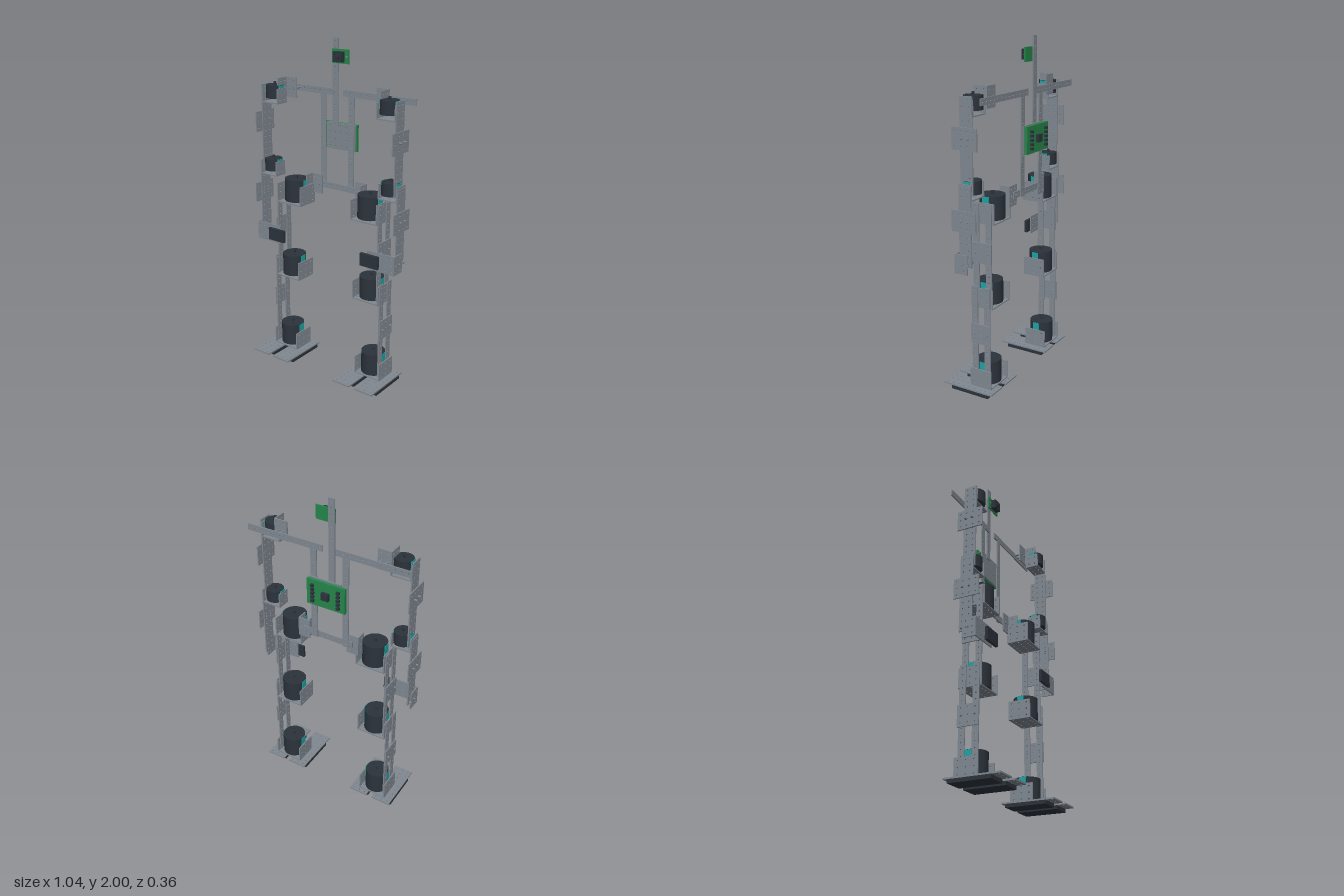
import * as THREE from 'three';

const material = (name, color) => {
  const m = new THREE.MeshStandardMaterial({ color });
  m.name = name;
  return m;
};

export function createModel() {
  const steel = material('steel grey', 0x808890);
  const black = material('motor black', 0x2c333b);
  const green = material('circuit green', 0x26854a);
  const teal = material('gearbox teal', 0x1fa3a3);
  const root = new THREE.Group();
  root.name = 'humanoidRobotFrame';

  const add = (name, geo, mat, x, y, z) => {
    const m = new THREE.Mesh(geo, mat);
    m.name = name;
    m.position.set(x, y, z);
    root.add(m);
    return m;
  };

  // Solid block given by its ranges; s mirrors it across x
  const block = (name, mat, x0, x1, y0, y1, z0, z1, s = 1) =>
    add(name, new THREE.BoxGeometry(x1 - x0, y1 - y0, z1 - z0), mat,
      s * (x0 + x1) / 2, (y0 + y1) / 2, (z0 + z1) / 2);

  // Perforated sheet; its thinnest range is the direction of the holes
  const plate = (name, x0, x1, y0, y1, z0, z1, s = 1, mat = steel, pitch = 0.036) => {
    const size = [x1 - x0, y1 - y0, z1 - z0];
    const t = Math.min(...size);
    const axis = size.indexOf(t);
    const w = axis === 0 ? size[2] : size[0];
    const h = axis === 1 ? size[2] : size[1];
    const shape = new THREE.Shape([[-w, -h], [w, -h], [w, h], [-w, h]]
      .map(([a, b]) => new THREE.Vector2(a / 2, b / 2)));
    const nx = Math.max(1, Math.floor(w / pitch)), ny = Math.max(1, Math.floor(h / pitch));
    for (let i = 0; i < nx; i++) for (let j = 0; j < ny; j++) {
      const hole = new THREE.Path();
      hole.absarc((i + 0.5 - nx / 2) * w / nx, (j + 0.5 - ny / 2) * h / ny, 0.005, 0, Math.PI * 2, true);
      shape.holes.push(hole);
    }
    const geo = new THREE.ExtrudeGeometry(shape, { depth: t, bevelEnabled: false, curveSegments: 3 });
    geo.translate(0, 0, -t / 2);
    if (axis === 0) geo.rotateY(Math.PI / 2);
    if (axis === 1) geo.rotateX(Math.PI / 2);
    return add(name, geo, mat, s * (x0 + x1) / 2, (y0 + y1) / 2, (z0 + z1) / 2);
  };

  const bolt = (axis, x, y, z, len = 0.03, r = 0.006) => {
    const geo = new THREE.CylinderGeometry(r, r, len, 8);
    if (axis === 'x') geo.rotateZ(Math.PI / 2);
    if (axis === 'z') geo.rotateX(Math.PI / 2);
    add('bolt', geo, steel, x, y, z);
  };

  // Round motor with gearbox, shaft and face screws
  const motor = (name, x, y0, y1, z, r) => {
    const h = y1 - y0, yc = (y0 + y1) / 2;
    add(name, new THREE.CylinderGeometry(r, r, h, 32), black, x, yc, z);
    block(name + 'Gearbox', teal, x - r - 0.002, x + r + 0.002, y0 + 0.004, y1 - 0.002, z - 0.02, z + 0.02);
    add(name + 'Shaft', new THREE.CylinderGeometry(0.008, 0.008, 0.018, 10), black, x, y1 + 0.008, z);
    for (let i = 0; i < 4; i++) {
      const a = Math.PI * (i / 2 + 0.25);
      add(name + 'Screw', new THREE.CylinderGeometry(0.005, 0.005, 0.004, 6), black,
        x + Math.cos(a) * r * 0.62, y1 + 0.001, z + Math.sin(a) * r * 0.62);
    }
  };

  // U-shaped cradle beneath a motor
  const cradle = (name, x0, x1, y, h, z0, z1, s) => {
    plate(name + 'Base', x0, x1, y, y + 0.007, z0, z1, s);
    plate(name + 'InnerSide', x0, x0 + 0.007, y, y + h, z0, z1, s);
    plate(name + 'OuterSide', x1 - 0.007, x1, y, y + h, z0, z1, s);
  };

  // Torso: mast, uprights, pelvis bar and chest plate
  plate('mast', -0.06, -0.022, 1.49, 2, -0.131, -0.124);
  plate('rightUpright', -0.142, -0.105, 1.11, 1.69, -0.124, -0.117);
  plate('leftUpright', 0.06, 0.098, 1.11, 1.69, -0.124, -0.117);
  plate('pelvisBar', -0.165, 0.165, 1.112, 1.15, -0.117, -0.11);
  plate('chestPlate', -0.105, 0.098, 1.355, 1.515, -0.138, -0.131);

  // Controller board with chips on its back
  block('controllerBoard', green, -0.142, 0.1, 1.355, 1.512, -0.163, -0.146);
  block('controllerChip', black, -0.045, 0, 1.412, 1.456, -0.181, -0.163);
  for (const x of [-0.103, 0.06]) for (let i = 0; i < 5; i++)
    block('boardConnector', black, x - 0.009, x + 0.009, 1.378 + i * 0.024, 1.392 + i * 0.024, -0.179, -0.163);
  for (const x of [-0.124, 0.08]) for (const y of [1.37, 1.498]) bolt('z', x, y, -0.133, 0.03);

  // Head camera
  block('cameraBoard', green, -0.06, 0.058, 1.86, 1.94, -0.124, -0.116);
  block('cameraHousing', black, -0.032, 0.03, 1.87, 1.928, -0.116, -0.084);
  const lens = add('cameraLens', new THREE.CylinderGeometry(0.016, 0.016, 0.01, 20), black, -0.001, 1.9, -0.08);
  lens.rotation.x = Math.PI / 2;
  for (const x of [-0.048, 0.046]) bolt('z', x, 1.9, -0.114, 0.01, 0.005);

  for (const s of [1, -1]) {
    // Shoulder bar and angle bracket
    const inner = s > 0 ? 0.02 : 0.05;
    plate('shoulderBar', inner, 0.507, 1.676, 1.714, -0.124, -0.117, s);
    plate('shoulderBracketFront', 0.283, 0.365, 1.64, 1.76, -0.072, -0.065, s);
    plate('shoulderBracketSide', 0.358, 0.365, 1.64, 1.76, -0.072, 0.012, s);
    for (const x of [0.305, 0.342]) bolt('z', s * x, 1.695, -0.092, 0.07);

    // Shoulder motor, upper arm
    motor('shoulderMotor', s * 0.406, 1.638, 1.716, -0.013, 0.053);
    cradle('shoulderCradle', 0.348, 0.472, 1.608, 0.09, -0.052, 0.03, s);
    plate('upperArm', 0.47, 0.477, 1.19, 1.715, -0.05, 0.028, s);
    plate('upperArmPlate', 0.481, 0.488, 1.432, 1.554, -0.085, 0.073, s);

    // Elbow motor, forearm
    motor('elbowMotor', s * 0.427, 1.192, 1.266, -0.013, 0.053);
    cradle('elbowCradle', 0.37, 0.495, 1.163, 0.09, -0.052, 0.03, s);
    plate('forearm', 0.492, 0.499, 0.79, 1.24, -0.05, 0.028, s);
    plate('forearmPlate', 0.501, 0.507, 0.988, 1.108, -0.085, 0.07, s);
    for (const z of [-0.032, 0.01]) {
      bolt('x', s * 0.487, 1.495, z, 0.036);
      bolt('x', s * 0.502, 1.05, z, 0.034);
      bolt('x', s * 0.502, 0.805, z, 0.03);
    }

    // Hand: angle bracket with a dark grip pad
    plate('handPlate', 0.325, 0.507, 0.747, 0.86, 0.05, 0.057, s);
    plate('handSide', 0.5, 0.507, 0.747, 0.86, -0.025, 0.057, s);
    block('gripPad', black, 0.285, 0.406, 0.763, 0.84, 0.057, 0.073, s);

    // Hip bracket and motor
    plate('hipBracketBack', 0.123, 0.2, 1.07, 1.19, -0.11, -0.103, s);
    plate('hipBracketSide', 0.193, 0.2, 1.07, 1.19, -0.11, -0.045, s);
    bolt('z', s * 0.145, 1.13, -0.11, 0.03);
    motor('hipMotor', s * 0.271, 1.02, 1.158, -0.042, 0.072);
    cradle('hipCradle', 0.184, 0.367, 1.006, 0.12, -0.11, 0.03, s);

    // Thigh and shin: twin strips joined by a cover plate
    for (const [z0, z1] of [[-0.016, 0.022], [-0.097, -0.059]]) {
      plate('thighStrip', 0.367, 0.374, 0.54, 1.12, z0, z1, s);
      plate('shinStrip', 0.388, 0.395, 0.05, 0.645, z0, z1, s);
    }
    plate('thighPlate', 0.375, 0.382, 0.78, 0.9, -0.1, 0.025, s);
    plate('shinPlate', 0.396, 0.403, 0.3, 0.42, -0.102, 0.025, s);
    for (const z of [-0.078, 0.003]) {
      bolt('x', s * 0.4, 0.36, z, 0.03);
      bolt('x', s * 0.378, 0.84, z, 0.026);
    }

    // Knee and ankle motors
    motor('kneeMotor', s * 0.295, 0.533, 0.666, -0.04, 0.072);
    cradle('kneeCradle', 0.204, 0.387, 0.518, 0.115, -0.11, 0.03, s);
    motor('ankleMotor', s * 0.316, 0.045, 0.182, -0.04, 0.072);
    cradle('ankleCradle', 0.227, 0.408, 0.03, 0.11, -0.11, 0.03, s);

    // Foot: two perforated plates over dark soles
    for (const [x0, x1] of [[0.177, 0.296], [0.335, 0.457]]) {
      plate('footPlate', x0, x1, 0.021, 0.03, -0.142, 0.182, s);
      block('footSole', black, x0, x1, 0, 0.021, -0.117, 0.13, s);
    }
  }
  return root;
}
